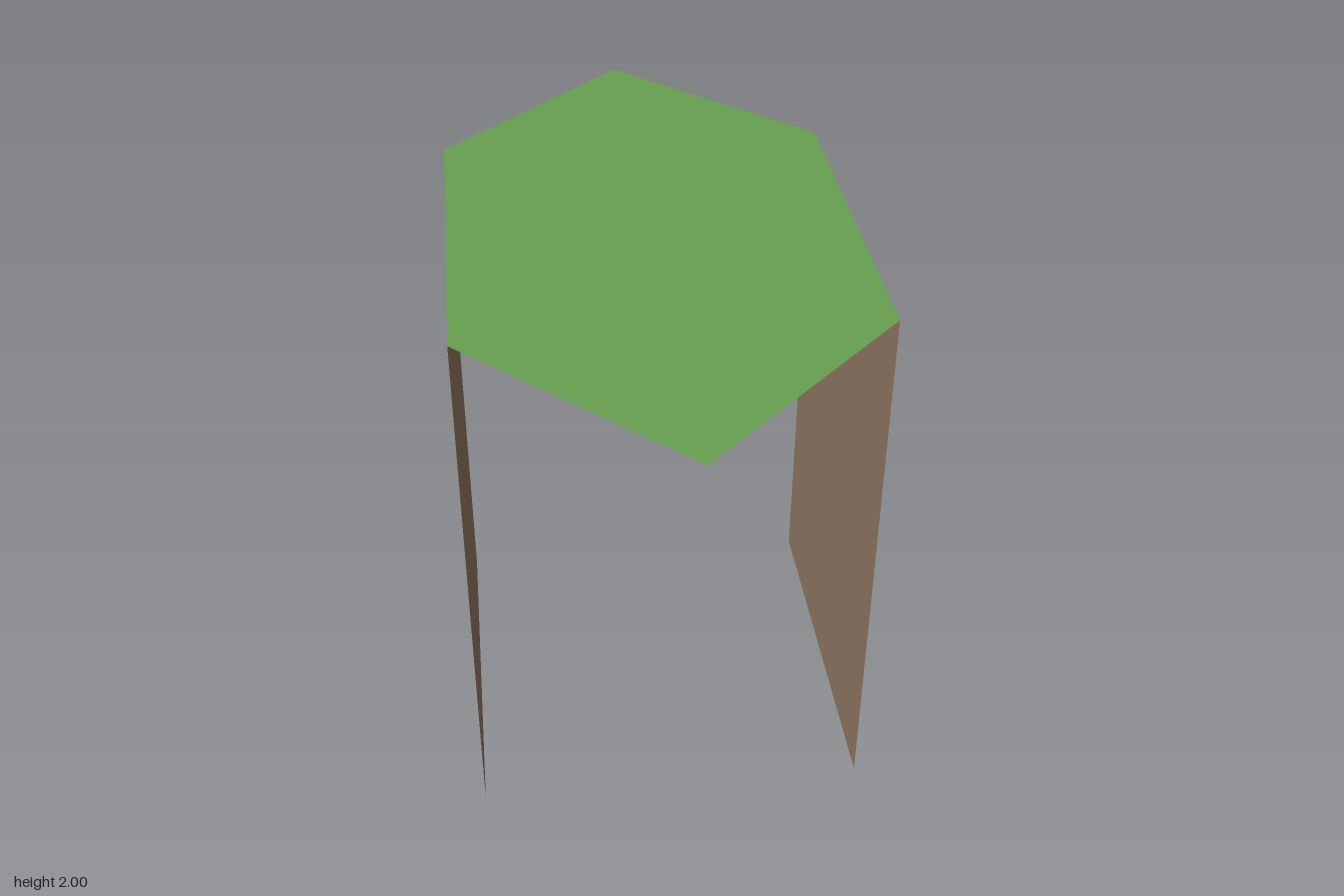
import * as THREE from 'three';

export function createModel() {
  const model = new THREE.Group();
  const green = new THREE.MeshStandardMaterial({ color: 0x66a050, side: THREE.DoubleSide });
  green.name = 'leaf green';
  const brown = new THREE.MeshStandardMaterial({ color: 0x8a715e, side: THREE.DoubleSide });
  brown.name = 'earth brown';

  // Flat six-sided top, drawn as (x, -z) and laid level
  const outline = [[0, 1], [-1, 0], [-1, -1], [0, -1], [1, 0], [1, 1]];
  const shape = new THREE.Shape(outline.map(([x, y]) => new THREE.Vector2(x, y)));
  const top = new THREE.Mesh(new THREE.ShapeGeometry(shape).rotateX(-Math.PI / 2), green);
  top.name = 'top';
  top.position.y = 2;
  model.add(top);

  // Two thin upright walls under the opposite diagonal edges, facing outwards
  const wallGeometry = new THREE.PlaneGeometry(Math.SQRT2, 2);
  for (const [name, side] of [['frontWall', 1], ['backWall', -1]]) {
    const wall = new THREE.Mesh(wallGeometry, brown);
    wall.name = name;
    wall.position.set(0.5 * side, 1, 0.5 * side);
    wall.rotation.y = side > 0 ? Math.PI / 4 : Math.PI * 1.25;
    model.add(wall);
  }
  return model;
}
